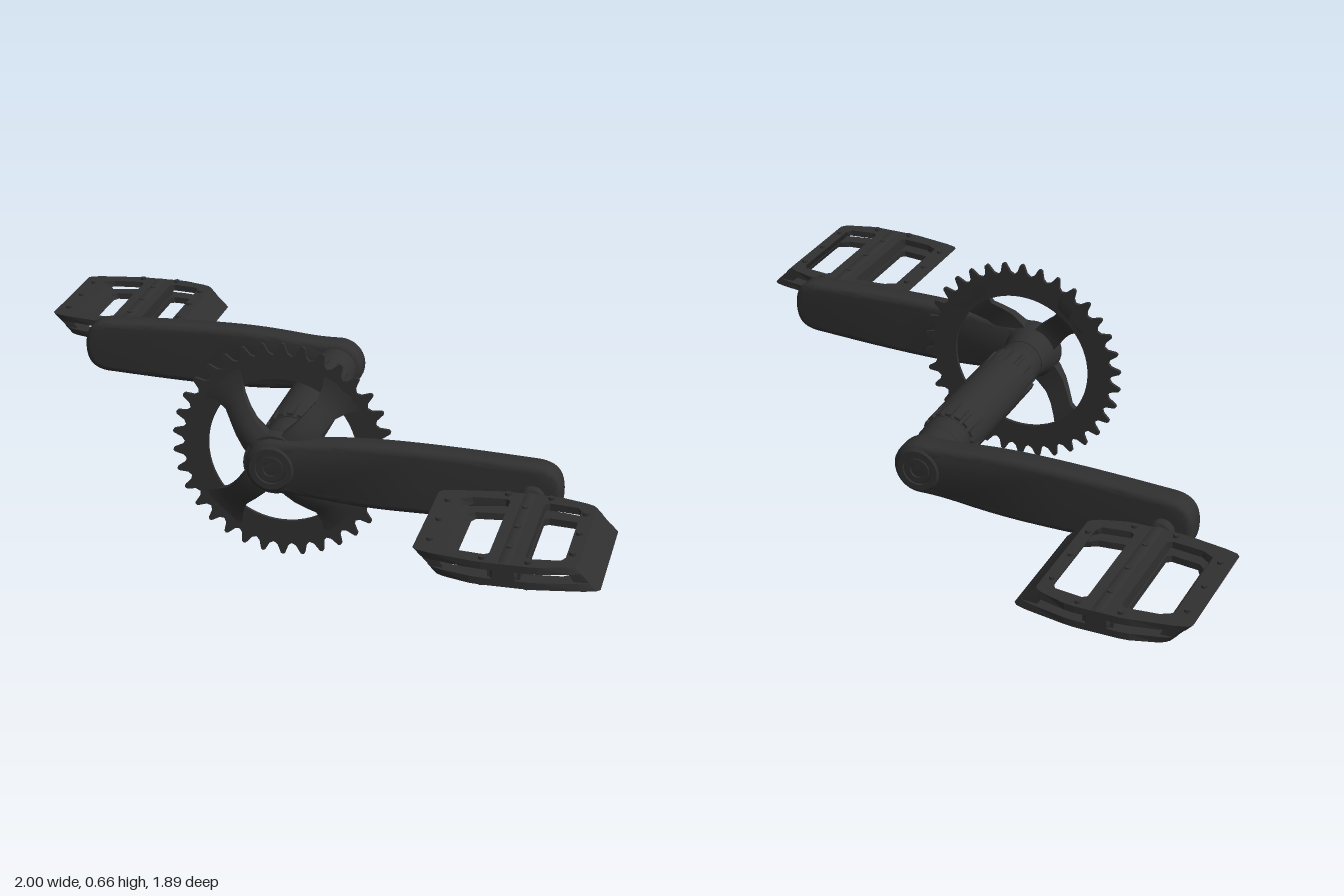
import * as THREE from 'three';
import { toCreasedNormals } from 'three/addons/utils/BufferGeometryUtils.js';

const black = new THREE.MeshStandardMaterial({ color: 0x303030 });
black.name = 'matteBlack';
const AXIS_Y = 0.33;

function add(parent, name, geometry, x = 0, y = 0, z = 0) {
  const mesh = new THREE.Mesh(geometry, black);
  mesh.name = name;
  mesh.position.set(x, y, z);
  parent.add(mesh);
  return mesh;
}

// Revolved solid along z from [radius, z] pairs, listed from back to front
function turned(profile, sides = 40) {
  const g = new THREE.LatheGeometry(profile.map(([r, z]) => new THREE.Vector2(r, z)), sides);
  return toCreasedNormals(g.rotateX(Math.PI / 2), 0.5);
}

// Moves every vertex of a geometry by a rule
function bend(geometry, rule) {
  const p = geometry.attributes.position;
  const v = new THREE.Vector3();
  for (let i = 0; i < p.count; i++) {
    rule(v.fromBufferAttribute(p, i));
    p.setXYZ(i, v.x, v.y, v.z);
  }
  geometry.computeVertexNormals();
  return geometry;
}

const smooth = (a, b, x) => THREE.MathUtils.smoothstep(x, a, b);
const shapeOf = pts => new THREE.Shape(pts.map(([x, y]) => new THREE.Vector2(x, y)));

// Axle, bearing cups and ribbed shell
function makeSpindle() {
  const g = new THREE.Group();
  g.name = 'spindle';
  add(g, 'axle', turned([[0, -0.38], [0.055, -0.38], [0.055, 0.38], [0, 0.38]]));
  add(g, 'shell', turned([[0, -0.24], [0.073, -0.24], [0.074, -0.22], [0.082, -0.14],
    [0.082, 0.12], [0.074, 0.2], [0.073, 0.22], [0, 0.22]]));
  add(g, 'rearCup', turned([[0, -0.36], [0.062, -0.36], [0.068, -0.35], [0.068, -0.3], [0.072, -0.295],
    [0.072, -0.23], [0, -0.23]]));
  add(g, 'frontCup', turned([[0, 0.21], [0.07, 0.21], [0.07, 0.28], [0.066, 0.29], [0.066, 0.36], [0, 0.36]]));
  for (const z of [-0.185, 0.165]) {
    for (let i = 0; i < 16; i++) {
      const a = (i / 16) * Math.PI * 2;
      const rib = add(g, 'shellRib', new THREE.BoxGeometry(0.016, 0.018, 0.1),
        Math.cos(a) * 0.073, Math.sin(a) * 0.073, z);
      rib.rotation.z = a;
    }
  }
  return g;
}

// Toothed ring carried on four swept spider arms
function makeChainring() {
  const g = new THREE.Group();
  g.name = 'chainring';
  const teeth = 34;
  const pts = [];
  for (let i = 0; i < teeth; i++) {
    for (const [t, r] of [[-0.5, 0.293], [-0.28, 0.301], [-0.1, 0.327], [0, 0.33], [0.1, 0.327], [0.28, 0.301]]) {
      const a = Math.PI / 2 + ((i + t) / teeth) * Math.PI * 2;
      pts.push([Math.cos(a) * r, Math.sin(a) * r]);
    }
  }
  const ring = shapeOf(pts);
  ring.holes.push(new THREE.Path().absarc(0, 0, 0.222, 0, Math.PI * 2, true));
  add(g, 'toothedRing', new THREE.ExtrudeGeometry(ring, { depth: 0.01, bevelEnabled: false, curveSegments: 32 }), 0, 0, 0.295);

  // Stations along an arm: radius, front z, half width, thickness
  const rows = [[0.03, 0.42, 0.045, 0.06], [0.09, 0.412, 0.042, 0.05], [0.13, 0.398, 0.038, 0.04],
    [0.165, 0.372, 0.036, 0.035], [0.2, 0.338, 0.037, 0.03], [0.235, 0.314, 0.052, 0.019], [0.27, 0.307, 0.075, 0.012]];
  for (const deg of [48, 132, 228, 312]) {
    const arm = new THREE.BoxGeometry(1, 1, 1, rows.length - 1, 4, 1);
    bend(arm, v => {
      const [r, z, w, t] = rows[Math.round((v.x + 0.5) * (rows.length - 1))];
      const crown = 0.3 * t * (2 * v.y) ** 2;
      v.set(r, v.y * 2 * w, v.z > 0 ? z - crown : z - t);
    });
    add(g, 'spiderArm', arm).rotation.z = THREE.MathUtils.degToRad(deg);
  }
  add(g, 'spiderHub', turned([[0, 0.3], [0.068, 0.3], [0.074, 0.34], [0.092, 0.375], [0.088, 0.41], [0, 0.41]]));
  return g;
}

// Crank arm running along +x, outer face towards +z
function makeCrank() {
  const g = new THREE.Group();
  g.name = 'crank';
  const s = new THREE.Shape();
  s.absarc(0, 0, 0.08, Math.PI / 2, Math.PI * 1.5, false);
  s.bezierCurveTo(0.12, -0.075, 0.16, -0.097, 0.36, -0.097);
  s.bezierCurveTo(0.52, -0.097, 0.64, -0.09, 0.755, -0.085);
  s.bezierCurveTo(0.805, -0.08, 0.828, -0.055, 0.828, 0);
  s.bezierCurveTo(0.828, 0.055, 0.805, 0.08, 0.755, 0.085);
  s.bezierCurveTo(0.64, 0.09, 0.52, 0.097, 0.36, 0.097);
  s.bezierCurveTo(0.16, 0.097, 0.12, 0.075, 0, 0.08);
  const body = new THREE.ExtrudeGeometry(s, {
    depth: 0.042, bevelThickness: 0.02, bevelSize: 0.02, bevelOffset: -0.02, bevelSegments: 4, curveSegments: 16,
  });
  add(g, 'crankArm', toCreasedNormals(body, 0.7), 0, 0, 0.376);
  // Axle boss with a recessed bolt
  add(g, 'axleBoss', turned([[0, 0.42], [0.07, 0.42], [0.07, 0.436], [0.062, 0.443], [0.045, 0.443], [0.043, 0.436], [0, 0.436]]));
  add(g, 'axleBolt', turned([[0, 0.42], [0.037, 0.42], [0.037, 0.442], [0.022, 0.442], [0.02, 0.437], [0, 0.437]], 32));
  // Pedal spindle
  add(g, 'pedalSpindle', turned([[0, 0.43], [0.026, 0.43], [0.026, 0.45], [0.036, 0.452], [0.036, 0.478],
    [0.028, 0.482], [0.028, 0.52], [0, 0.52]], 24), 0.75);
  return g;
}

// Open platform pedal with slanted outer edges, centred on its own axis
function makePedal() {
  const g = new THREE.Group();
  g.name = 'pedal';
  const H = 0.032;
  const slant = v => { v.x -= 0.94 * v.y * smooth(0.12, 0.205, Math.abs(v.x)); };
  const slab = (shape, y0, y1) => {
    const geo = new THREE.ExtrudeGeometry(shape, { depth: y1 - y0, bevelEnabled: false });
    return bend(geo.rotateX(-Math.PI / 2).translate(0, y0, 0), slant);
  };
  const corner = [[0.217, 0.178], [0.207, 0.19], [0.18, 0.2], [0.09, 0.22], [0.06, 0.223]];
  const flip = (pts, sx, sy) => pts.map(([x, y]) => [x * sx, y * sy]);
  const outline = [...corner, ...flip(corner, -1, 1).reverse(), ...flip(corner, -1, -1), ...flip(corner, 1, -1).reverse()];
  const win = [[0.047, -0.165], [0.06, -0.175], [0.145, -0.165], [0.167, -0.145],
    [0.167, 0.145], [0.145, 0.165], [0.06, 0.175], [0.047, 0.165]];

  // Upper and lower rails
  for (const [y0, y1] of [[-H, -0.012], [0.012, H]]) {
    const plate = shapeOf(outline);
    plate.holes.push(shapeOf(win), shapeOf(flip(win, -1, 1)));
    add(g, 'rail', slab(plate, y0, y1));
  }
  // Solid side bars between the rails
  for (const s of [-1, 1]) {
    const bar = flip([[0.17, -0.19], [0.207, -0.188], [0.216, -0.177], [0.216, 0.177], [0.207, 0.188], [0.17, 0.19]], s, 1);
    add(g, 'sideBar', slab(shapeOf(bar), -0.03, 0.03));
  }
  // Centre bar over the bearing tube
  add(g, 'centreBar', new THREE.BoxGeometry(0.086, 0.05, 0.425));
  add(g, 'bearingTube', turned([[0, -0.223], [0.03, -0.223], [0.036, -0.215], [0.036, 0.215], [0.03, 0.223], [0, 0.223]], 20));
  // Grip pins on both faces
  const pins = [];
  for (const x of [-0.188, 0.188]) for (const z of [-0.125, 0, 0.125]) pins.push([x, z]);
  for (const x of [-0.06, 0.06]) for (const z of [-0.202, 0.202]) pins.push([x, z]);
  for (const z of [-0.125, 0, 0.125]) pins.push([0, z]);
  for (const [x, z] of pins) {
    for (const s of [-1, 1]) {
      const shift = Math.abs(x) > 0.1 ? -0.024 * s : 0;
      add(g, 'gripPin', new THREE.CylinderGeometry(0.009, 0.009, 0.02, 8), x + shift, s * 0.03, z);
    }
  }
  return g;
}

export function createModel() {
  const model = new THREE.Group();
  model.name = 'crankset';
  const core = new THREE.Group();
  core.name = 'crankAssembly';
  core.position.y = AXIS_Y;
  core.add(makeSpindle(), makeChainring());

  // Opposed cranks, each with a pedal
  for (const s of [1, -1]) {
    const crank = makeCrank();
    if (s < 0) crank.rotation.y = Math.PI;
    const pedal = makePedal();
    pedal.position.set(s * 0.752, 0, s * 0.72);
    core.add(crank, pedal);
  }
  model.add(core);
  return model;
}
